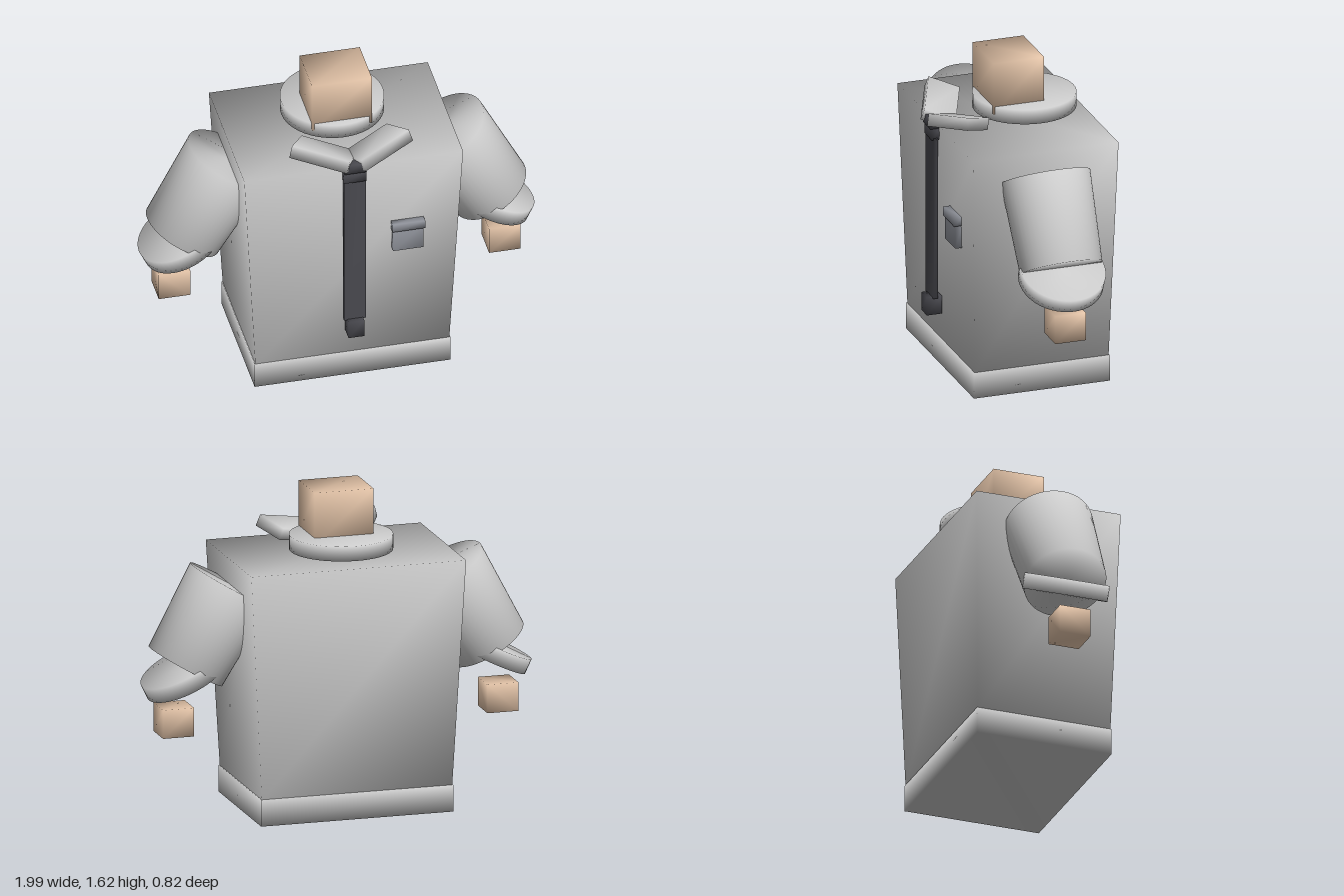
import * as THREE from 'three';
import { mergeVertices } from 'three/addons/utils/BufferGeometryUtils.js';

const material = (color) => new THREE.MeshStandardMaterial({ color });
const grey = material(0xcccccc);
const skin = material(0xe6c6aa);
const dark = material(0x4a4a50);
const pocketGrey = material(0x8f929a);

// Shares corners so that shading runs smoothly over every edge
function soften(geometry) {
  geometry.deleteAttribute('normal');
  geometry.deleteAttribute('uv');
  const merged = mergeVertices(geometry);
  merged.computeVertexNormals();
  return merged;
}

function part(name, geometry, mat) {
  const mesh = new THREE.Mesh(soften(geometry), mat);
  mesh.name = name;
  return mesh;
}

// Box between two corners
function box(name, mat, [x0, y0, z0], [x1, y1, z1]) {
  const g = new THREE.BoxGeometry(x1 - x0, y1 - y0, z1 - z0);
  g.translate((x0 + x1) / 2, (y0 + y1) / 2, (z0 + z1) / 2);
  return part(name, g, mat);
}

// Box whose upper corners are moved to a different half width and depth range
function taperedBox(name, mat, [y0, y1], bottom, top) {
  const g = new THREE.BoxGeometry(2, 1, 1);
  const p = g.attributes.position;
  for (let i = 0; i < p.count; i++) {
    const up = p.getY(i) > 0;
    const [halfX, back, front] = up ? top : bottom;
    p.setXYZ(i, p.getX(i) * halfX, up ? y1 : y0, p.getZ(i) > 0 ? front : back);
  }
  return part(name, g, mat);
}

function cylinder(name, rTop, rBottom, height, [x, y, z], tilt = 0) {
  const mesh = part(name, new THREE.CylinderGeometry(rTop, rBottom, height, 48), grey);
  mesh.position.set(x, y, z);
  mesh.rotation.z = THREE.MathUtils.degToRad(tilt);
  return mesh;
}

// Sleeve, cuff, hand and collar wing of the left side
function createSide(name) {
  const side = new THREE.Group();
  side.name = name;
  side.add(cylinder('sleeve', 0.224, 0.206, 0.46, [0.661, 0.949, -0.03], 30));
  side.add(cylinder('cuff', 0.213, 0.213, 0.079, [0.788, 0.718, -0.03], -26));
  side.add(box('hand', skin, [0.755, 0.41, -0.11], [0.915, 0.555, 0.05]));

  // Collar wing: a slab along three slanted edges
  const along = new THREE.Vector3(0.265, 0.06, -0.115);
  const up = new THREE.Vector3(-0.018, 0.058, -0.015);
  const forward = new THREE.Vector3(0.08, 0.045, 0.135);
  const frame = new THREE.Matrix4().makeBasis(along, up, forward).setPosition(0.03, 1.345, 0.395);
  const wing = new THREE.BoxGeometry(1, 1, 1).translate(0.5, -0.5, -0.5).applyMatrix4(frame);
  side.add(part('collarWing', wing, grey));
  return side;
}

export function createModel() {
  const model = new THREE.Group();
  model.name = 'shirtedFigure';

  // Body
  model.add(taperedBox('torso', grey, [0.13, 1.28], [0.49, -0.38, 0.32], [0.553, -0.41, 0.35]));
  model.add(box('hem', grey, [-0.495, 0, -0.385], [0.495, 0.135, 0.325]));
  model.add(cylinder('collarBand', 0.257, 0.257, 0.075, [0, 1.348, -0.115]));
  model.add(box('neck', skin, [-0.152, 1.345, -0.165], [0.152, 1.615, 0.1]));

  // Mirrored sides
  const right = createSide('rightSide');
  right.scale.x = -1;
  model.add(createSide('leftSide'), right);

  // Tie
  model.add(box('tieStrip', dark, [-0.056, 0.37, 0.355], [0.056, 1.22, 0.38]));
  model.add(box('tieTip', dark, [-0.04, 0.28, 0.33], [0.04, 0.375, 0.408]));
  model.add(box('tieKnot', dark, [-0.056, 1.21, 0.345], [0.056, 1.27, 0.387]));
  model.add(taperedBox('tieKnotTop', dark, [1.27, 1.32], [0.056, 0.33, 0.395], [0.035, 0.32, 0.39]));

  // Chest pocket
  model.add(box('pocket', pocketGrey, [0.195, 0.745, 0.33], [0.348, 0.88, 0.37]));
  model.add(box('pocketFlap', pocketGrey, [0.19, 0.865, 0.335], [0.355, 0.91, 0.378]));

  return model;
}
